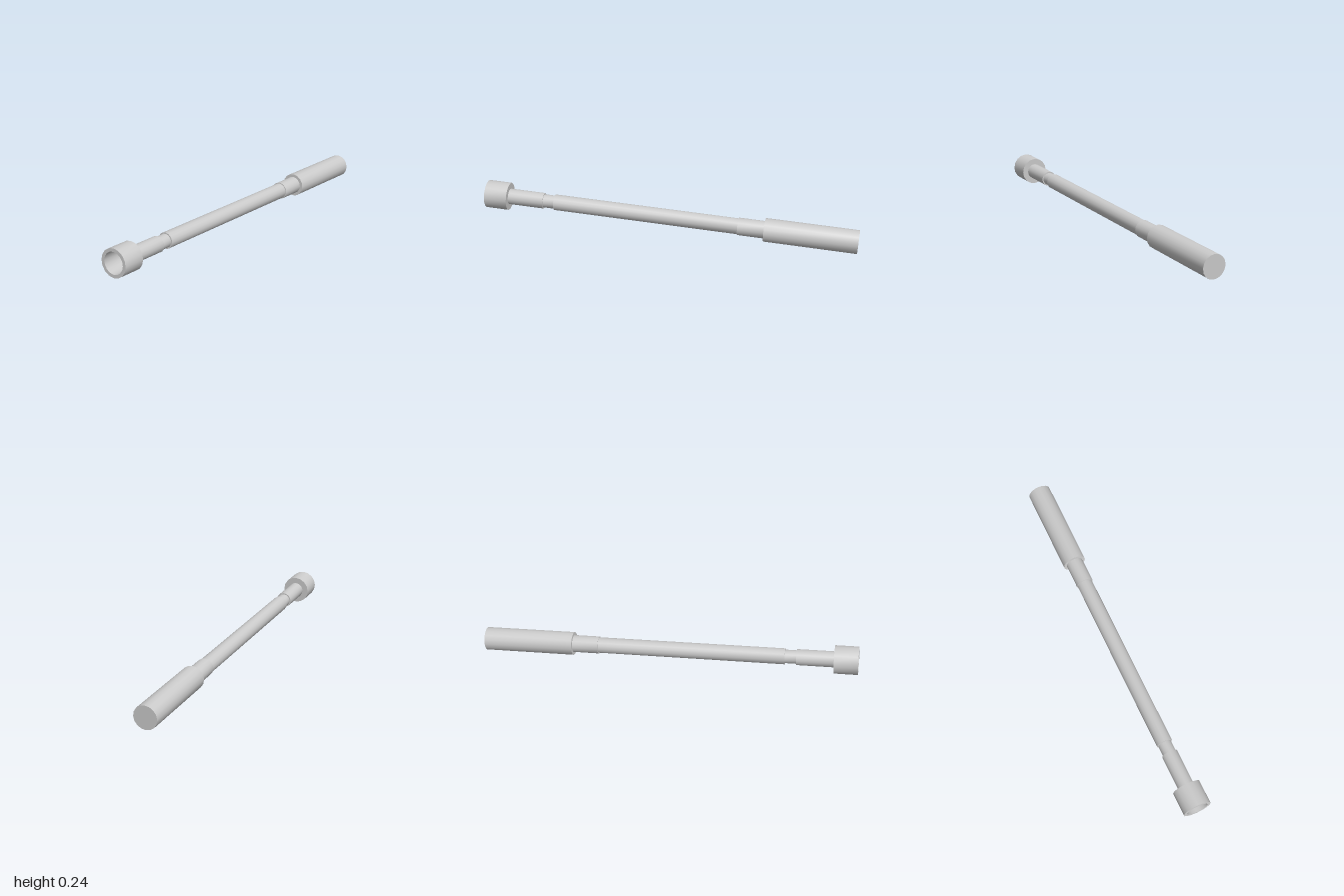
import * as THREE from 'three';
import { toCreasedNormals } from 'three/addons/utils/BufferGeometryUtils.js';

const SIDES = 16;
const TILT = 0.0531;
const LENGTH = 1.9957;

// Radii of the hollow sections, from rear to front
const GRIP = 0.062, COLLAR = 0.046, TUBE = 0.042, NECK = 0.0355, CUP = 0.074, BORE = 0.057;

// Stations along the axis, measured from the rear cap
const COLLAR_AT = 0.487, TUBE_AT = 0.626, NECK_AT = 1.62, SOCKET_AT = 1.68, CUP_AT = 1.873;

export function createModel() {
  const model = new THREE.Group();
  model.name = 'handheldTube';
  const material = new THREE.MeshStandardMaterial({ color: 0xcccccc, side: THREE.DoubleSide });

  // Turned thin-walled part; each profile point is [radius, distance along the axis]
  const turned = (name, profile) => {
    const points = profile.map(([r, t]) => new THREE.Vector2(r, t));
    const geometry = toCreasedNormals(new THREE.LatheGeometry(points, SIDES), 0.6);
    const mesh = new THREE.Mesh(geometry, material);
    mesh.name = name;
    model.add(mesh);
  };

  // Grip with closed rear cap and a shoulder down to the collar
  turned('grip', [[0, 0], [GRIP, 0], [GRIP, COLLAR_AT], [COLLAR, COLLAR_AT]]);
  turned('collar', [[COLLAR, COLLAR_AT], [COLLAR, TUBE_AT], [TUBE, TUBE_AT]]);
  turned('mainTube', [[TUBE, TUBE_AT], [TUBE, NECK_AT], [NECK, NECK_AT]]);
  turned('neck', [[NECK, NECK_AT], [NECK, SOCKET_AT]]);
  turned('frontTube', [[NECK, SOCKET_AT], [TUBE, SOCKET_AT], [TUBE, CUP_AT]]);

  // Thick-walled open cup at the front
  turned('cup', [[TUBE, CUP_AT], [CUP, CUP_AT], [CUP, LENGTH], [BORE, LENGTH], [BORE, CUP_AT]]);

  // Lay the axis along z, with the front end raised
  model.rotation.x = Math.PI / 2 - TILT;
  model.position.set(0, GRIP * Math.cos(TILT), -1 + GRIP * Math.sin(TILT));

  const root = new THREE.Group();
  root.name = 'model';
  root.add(model);
  return root;
}
